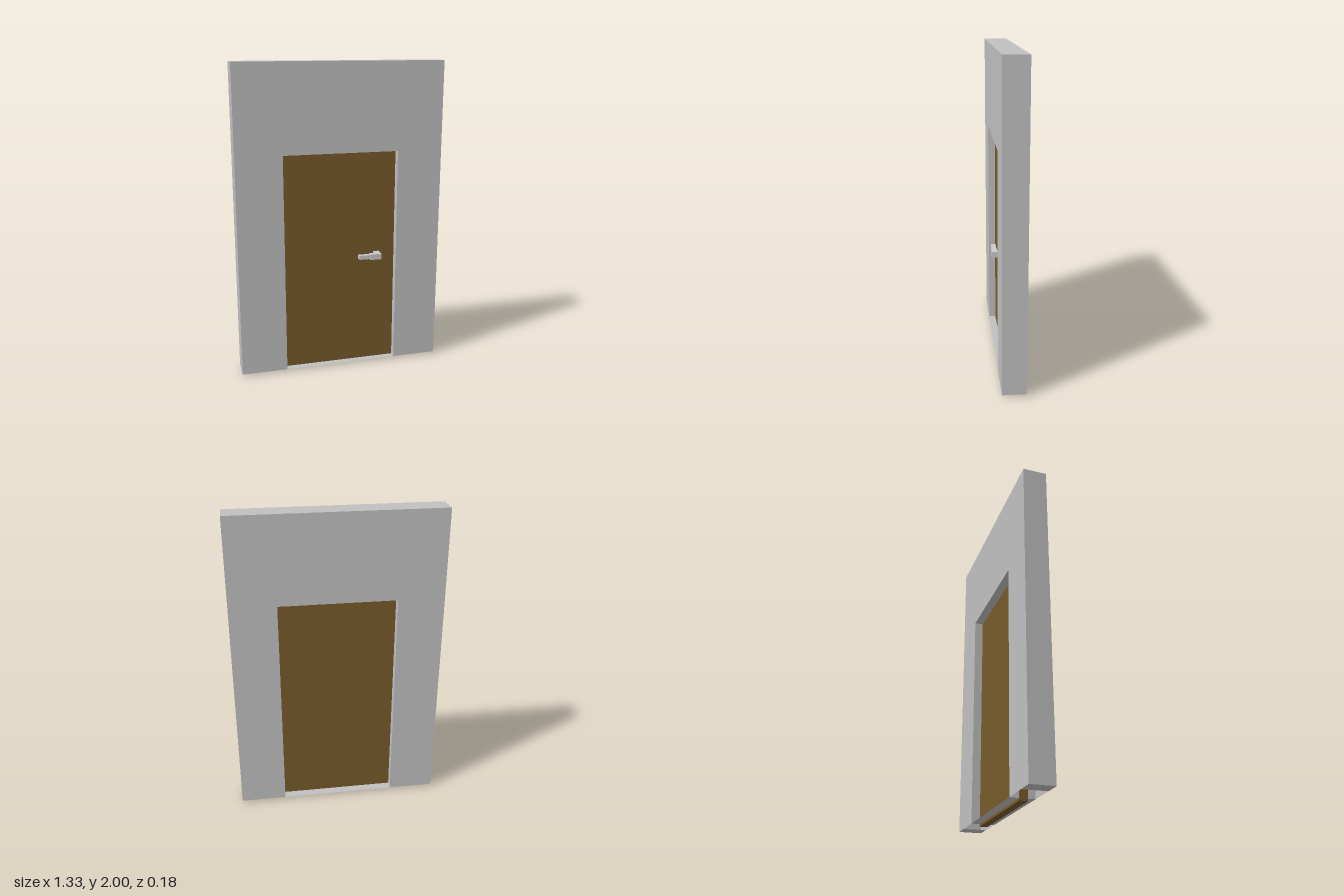
import * as THREE from 'three';

export function createModel() {
  const model = new THREE.Group();
  const wallMat = new THREE.MeshStandardMaterial({ color: 0xc0c0c0, side: THREE.DoubleSide });
  const doorMat = new THREE.MeshStandardMaterial({ color: 0x775a2c });
  const metalMat = new THREE.MeshStandardMaterial({ color: 0xcacaca });
  wallMat.name = 'wall grey';
  doorMat.name = 'door brown';
  metalMat.name = 'handle metal';

  const W = 0.665, H = 2, base = 0.015, back = -0.09, front = 0.06;
  const openX = 0.37, openY = 1.44, depth = front - back, midZ = (front + back) / 2;

  const wall = new THREE.Group();
  wall.name = 'wall';
  model.add(wall);

  // Hollow wall: front and back faces around the doorway
  const face = new THREE.Shape([
    [-W, base], [-openX, base], [-openX, openY], [openX, openY],
    [openX, base], [W, base], [W, H], [-W, H],
  ].map(([x, y]) => new THREE.Vector2(x, y)));
  for (const [name, z, turn] of [['wallFront', front, 0], ['wallBack', back, Math.PI]]) {
    const m = new THREE.Mesh(new THREE.ShapeGeometry(face), wallMat);
    m.name = name;
    m.position.z = z;
    m.rotation.y = turn;
    wall.add(m);
  }

  // Flat panel across the thickness of the wall
  function panel(name, w, h, x, y, rx, ry) {
    const m = new THREE.Mesh(new THREE.PlaneGeometry(w, h), wallMat);
    m.name = name;
    m.position.set(x, y, midZ);
    m.rotation.set(rx, ry, 0);
    wall.add(m);
  }
  const q = Math.PI / 2;
  panel('wallTop', 2 * W, depth, 0, H, -q, 0);
  panel('lintel', 2 * openX, depth, 0, openY, q, 0);
  panel('sill', 2 * openX, depth, 0, base, -q, 0);
  for (const s of [-1, 1]) {
    panel('wallEnd', depth, H - base, s * W, (H + base) / 2, 0, s * q);
    panel('jamb', depth, openY - base, s * openX, (openY + base) / 2, 0, -s * q);
    panel('wallFoot', 0.11, depth, s * (W - 0.055), base, q, 0);
  }

  function box(name, mat, x0, x1, y0, y1, z0, z1, parent) {
    const m = new THREE.Mesh(new THREE.BoxGeometry(x1 - x0, y1 - y0, z1 - z0), mat);
    m.name = name;
    m.position.set((x0 + x1) / 2, (y0 + y1) / 2, (z0 + z1) / 2);
    parent.add(m);
  }

  // Door leaf, its edges sunk into the wall
  box('door', doorMat, -0.375, 0.375, 0, 1.445, -0.035, 0.015, model);

  // Lever handle on the front only
  const handle = new THREE.Group();
  handle.name = 'handle';
  model.add(handle);
  box('handleNeck', metalMat, 0.228, 0.265, 0.735, 0.772, 0.015, 0.085, handle);
  box('handleElbow', metalMat, 0.188, 0.228, 0.735, 0.772, 0.052, 0.085, handle);
  box('handleLever', metalMat, 0.115, 0.188, 0.741, 0.768, 0.052, 0.081, handle);
  return model;
}
